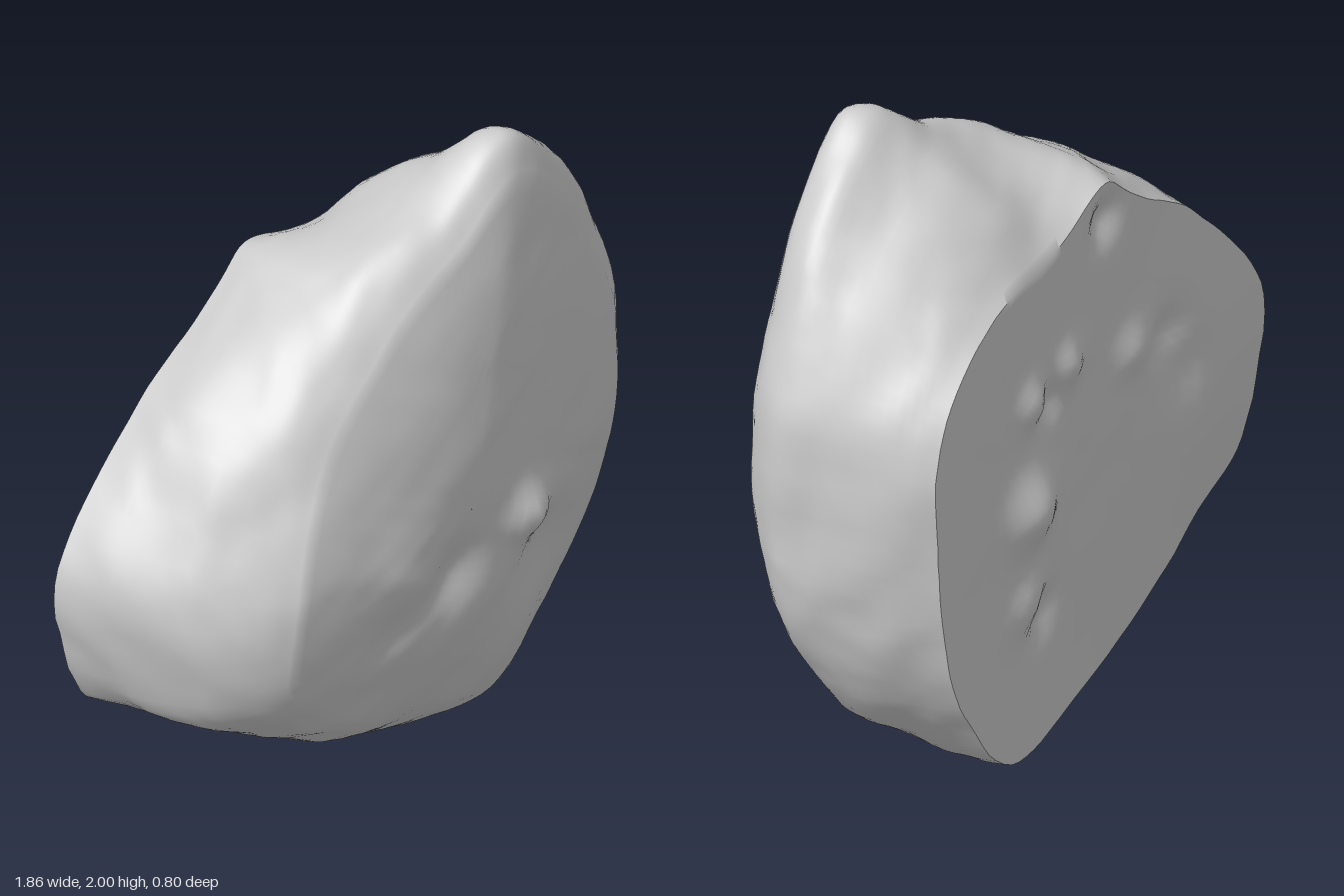
import * as THREE from 'three';
import { mergeVertices, toCreasedNormals } from 'three/addons/utils/BufferGeometryUtils.js';

const CX = 0.05, CY = 0.95;

// Widest outline, clockwise from the peak
const OUTLINE = [
  [0.37, 1.98], [0.58, 1.85], [0.77, 1.6], [0.9, 1.28], [0.915, 0.85], [0.87, 0.55],
  [0.71, 0.25], [0.4, 0.01], [0.1, 0.04], [-0.3, 0.18], [-0.6, 0.35], [-0.81, 0.49],
  [-0.92, 0.9], [-0.75, 1.2], [-0.57, 1.4], [-0.3, 1.61], [-0.13, 1.72], [0.12, 1.84],
];

// Depth of each cross-section and how far it reaches towards each outline point
const SECTIONS = [
  [-0.335, [0.58, 0.66, 0.79, 0.88, 0.87, 0.88, 0.92, 1, 1, 1, 1, 1, 1, 0.97, 0.94, 0.91, 0.92, 0.71]],
  [-0.2, [0.75, 0.79, 0.87, 0.94, 0.94, 0.95, 0.96, 1, 1, 1, 1, 0.98, 0.97, 0.98, 0.99, 0.98, 0.97, 0.84]],
  [0, [0.89, 0.91, 0.95, 0.99, 1, 1, 1, 0.98, 0.98, 0.97, 0.96, 0.94, 0.92, 0.95, 0.98, 1, 1, 0.96]],
  [0.14, [1, 1, 1, 1, 1, 0.99, 0.97, 0.95, 0.94, 0.93, 0.91, 0.88, 0.84, 0.88, 0.94, 0.98, 1, 1]],
  [0.23, [1, 0.98, 0.96, 0.94, 0.93, 0.92, 0.91, 0.91, 0.88, 0.88, 0.87, 0.82, 0.76, 0.81, 0.88, 0.92, 0.95, 0.98]],
  [0.28, [0.9, 0.9, 0.88, 0.87, 0.86, 0.85, 0.85, 0.86, 0.83, 0.83, 0.82, 0.77, 0.7, 0.74, 0.79, 0.84, 0.86, 0.89]],
];

// Bumps and dents on the two broad faces: x, y, radius, height
const FRONT_MARKS = [
  [0.32, 0.8, 0.08, 0.06], [0.0, 0.73, 0.11, -0.05], [0.02, 0.62, 0.13, 0.02],
  [-0.28, 0.66, 0.1, -0.02], [-0.2, 0.8, 0.14, 0.015], [0.42, 0.6, 0.13, -0.02],
  [-0.3, 0.42, 0.09, -0.025], [-0.45, 0.55, 0.11, 0.02], [0.35, 0.36, 0.13, 0.01],
];
const BACK_MARKS = [
  [0.29, 1.14, 0.07, 0.04], [0.1, 1.17, 0.07, 0.035], [0.2, 1.1, 0.07, -0.03],
  [0.3, 0.8, 0.11, 0.065], [0.32, 0.5, 0.08, 0.035], [0.22, 0.42, 0.07, -0.03],
  [-0.24, 1.06, 0.08, 0.03], [-0.42, 1.02, 0.08, -0.035], [-0.5, 0.86, 0.1, -0.025],
  [-0.12, 1.53, 0.07, -0.04], [-0.68, 0.82, 0.5, 0.05],
];

const marks = (list, x, y) => list.reduce(
  (sum, [mx, my, r, h]) => sum + h * Math.exp(-((x - mx) ** 2 + (y - my) ** 2) / (r * r)), 0);

// The lower and the upper left front lean back
const lean = (x, y) => 1 - 0.3 * THREE.MathUtils.smoothstep(0.95 - y, 0, 0.75)
  - 0.3 * THREE.MathUtils.smoothstep(0.7 * (y - CY - x + CX), 0.45, 0.7);

// Layered waves that roughen the stone
function rough(x, y, z) {
  let sum = 0;
  for (let i = 0, f = 7, a = 1; i < 4; i++, f *= 1.7, a *= 0.62) {
    sum += a * Math.sin(f * x + 2.1 * Math.sin(f * 0.6 * y + i))
      * Math.cos(f * 0.9 * y + 1.7 * Math.sin(f * 0.8 * z + 2 * i) + f * 0.5 * z);
  }
  return sum;
}

function ringPoints([z, reach], count) {
  const pts = OUTLINE.map(([x, y], i) =>
    new THREE.Vector3(CX + (x - CX) * reach[i], CY + (y - CY) * reach[i], 0));
  const curve = new THREE.CatmullRomCurve3(pts, true, 'centripetal');
  return Array.from({ length: count }, (_, i) => {
    const p = curve.getPoint(i / count);
    p.z = z > 0 ? z * lean(p.x, p.y) : z;
    return p;
  });
}

function stoneGeometry() {
  const around = 126, capRings = 22, sideRings = 30;
  const sections = SECTIONS.map((section) => ringPoints(section, around));
  const first = sections[0], last = sections[sections.length - 1];
  const rings = [];
  const backZ = (x, y) => SECTIONS[0][0] - marks(BACK_MARKS, x, y);
  first.forEach((p) => { p.z = backZ(p.x, p.y); });

  // Flat back, from its middle outwards
  for (let k = 0; k < capRings; k++) {
    const s = Math.max(k / capRings, 0.001);
    rings.push(first.map((p) => {
      const x = CX + (p.x - CX) * s, y = CY + (p.y - CY) * s;
      return [x, y, backZ(x, y) + 0.003 * rough(x, y, 0) * (1 - s)];
    }));
  }
  // Rough sides, rounded from back to front
  const ribs = first.map((_, i) =>
    new THREE.CatmullRomCurve3(sections.map((pts) => pts[i]), false, 'centripetal'));
  for (let k = 0; k < sideRings; k++) {
    rings.push(ribs.map((rib) => {
      const { x, y, z } = rib.getPoint(k / sideRings);
      const n = 1 + 0.009 * rough(x, y, z);
      return [CX + (x - CX) * n, CY + (y - CY) * n, z];
    }));
  }
  // Domed front, closing towards its middle
  for (let k = 0; k <= capRings; k++) {
    const s = Math.max(1 - k / capRings, 0.001);
    const inner = Math.min(1, 4 * (1 - s));
    rings.push(last.map((p) => {
      const x = CX + (p.x - CX) * s, y = CY + (p.y - CY) * s;
      const n = 1 + 0.009 * rough(x, y, p.z) * s;
      const dome = (0.355 - p.z) * (1 - s ** 2.3);
      const grain = (0.006 - 0.003 * THREE.MathUtils.smoothstep(y, 0.8, 1.1)) * rough(x, y, 0.3);
      const wear = (marks(FRONT_MARKS, x, y) + grain) * inner;
      return [CX + (x - CX) * n, CY + (y - CY) * n, p.z + dome + wear];
    }));
  }

  const index = [];
  for (let r = 0; r < rings.length - 1; r++) {
    for (let i = 0; i < around; i++) {
      const a = r * around + i, b = r * around + (i + 1) % around;
      const c = a + around, d = b + around;
      index.push(a, c, b, b, c, d);
    }
  }
  const geo = new THREE.BufferGeometry();
  geo.setAttribute('position', new THREE.Float32BufferAttribute(rings.flat(2), 3));
  geo.setIndex(index);
  return toCreasedNormals(mergeVertices(geo, 1e-5), 0.85);
}

export function createModel() {
  const group = new THREE.Group();
  group.name = 'rock';
  const stone = new THREE.Mesh(stoneGeometry(), new THREE.MeshStandardMaterial({ color: 0xcccccc }));
  stone.name = 'stone';
  group.add(stone);
  return group;
}
